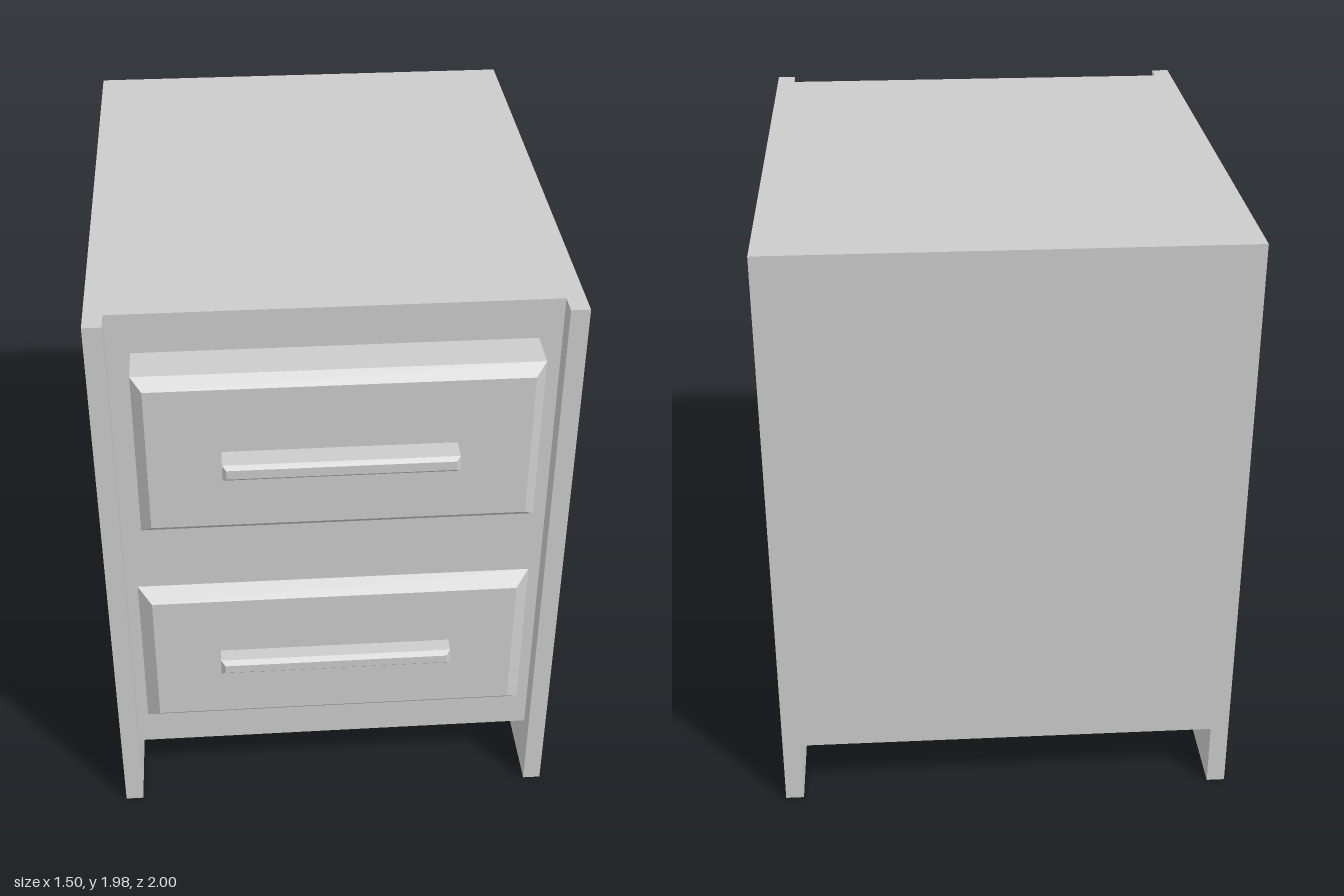
import * as THREE from 'three';

const material = new THREE.MeshStandardMaterial({ color: 0xcccccc, flatShading: true });

function addMesh(parent, name, geometry) {
  const mesh = new THREE.Mesh(geometry, material);
  mesh.name = name;
  parent.add(mesh);
  return mesh;
}

function addBox(parent, name, [x0, x1], [y0, y1], [z0, z1]) {
  const mesh = addMesh(parent, name, new THREE.BoxGeometry(x1 - x0, y1 - y0, z1 - z0));
  mesh.position.set((x0 + x1) / 2, (y0 + y1) / 2, (z0 + z1) / 2);
}

// Block with a chamfered front edge, lofted from rectangular sections [z, inset]
function chamferedBlock(halfWidth, y0, y1, sections) {
  const rings = sections.map(([z, inset]) => {
    const x = halfWidth - inset, b = y0 + inset, t = y1 - inset;
    return [[-x, b, z], [x, b, z], [x, t, z], [-x, t, z]];
  });
  const points = [];
  const quad = (a, b, c, d) => points.push(...a, ...b, ...c, ...a, ...c, ...d);
  for (let s = 0; s < rings.length - 1; s++) {
    for (let i = 0; i < 4; i++) {
      const j = (i + 1) % 4;
      quad(rings[s][i], rings[s][j], rings[s + 1][j], rings[s + 1][i]);
    }
  }
  quad(...rings[rings.length - 1]);
  quad(...[...rings[0]].reverse());
  const geometry = new THREE.BufferGeometry();
  geometry.setAttribute('position', new THREE.Float32BufferAttribute(points, 3));
  geometry.computeVertexNormals();
  return geometry;
}

export function createModel() {
  const model = new THREE.Group();
  model.name = 'drawerCabinet';

  // Carcass between two side panels that also form the feet
  addBox(model, 'carcass', [-0.69, 0.69], [0.22, 1.975], [-1, 0.75]);
  addBox(model, 'leftSidePanel', [0.69, 0.75], [0, 1.975], [-1, 0.82]);
  addBox(model, 'rightSidePanel', [-0.75, -0.69], [0, 1.975], [-1, 0.82]);

  // Upper drawer, pulled slightly open
  const upper = new THREE.Group();
  upper.name = 'upperDrawer';
  addMesh(upper, 'upperDrawerFront',
    chamferedBlock(0.618, 1.27, 1.84, [[0.75, 0], [0.882, 0], [0.917, 0.034]]));
  addMesh(upper, 'upperHandle',
    chamferedBlock(0.358, 1.528, 1.583, [[0.91, 0], [0.988, 0], [1, 0.012]]));

  // Lower drawer, closed, so only its chamfer stands proud
  const lower = new THREE.Group();
  lower.name = 'lowerDrawer';
  addMesh(lower, 'lowerDrawerFront',
    chamferedBlock(0.653, 0.345, 0.93, [[0.75, 0], [0.793, 0.045]]));
  addMesh(lower, 'lowerHandle',
    chamferedBlock(0.388, 0.61, 0.668, [[0.785, 0], [0.843, 0], [0.857, 0.014]]));

  model.add(upper, lower);
  return model;
}
